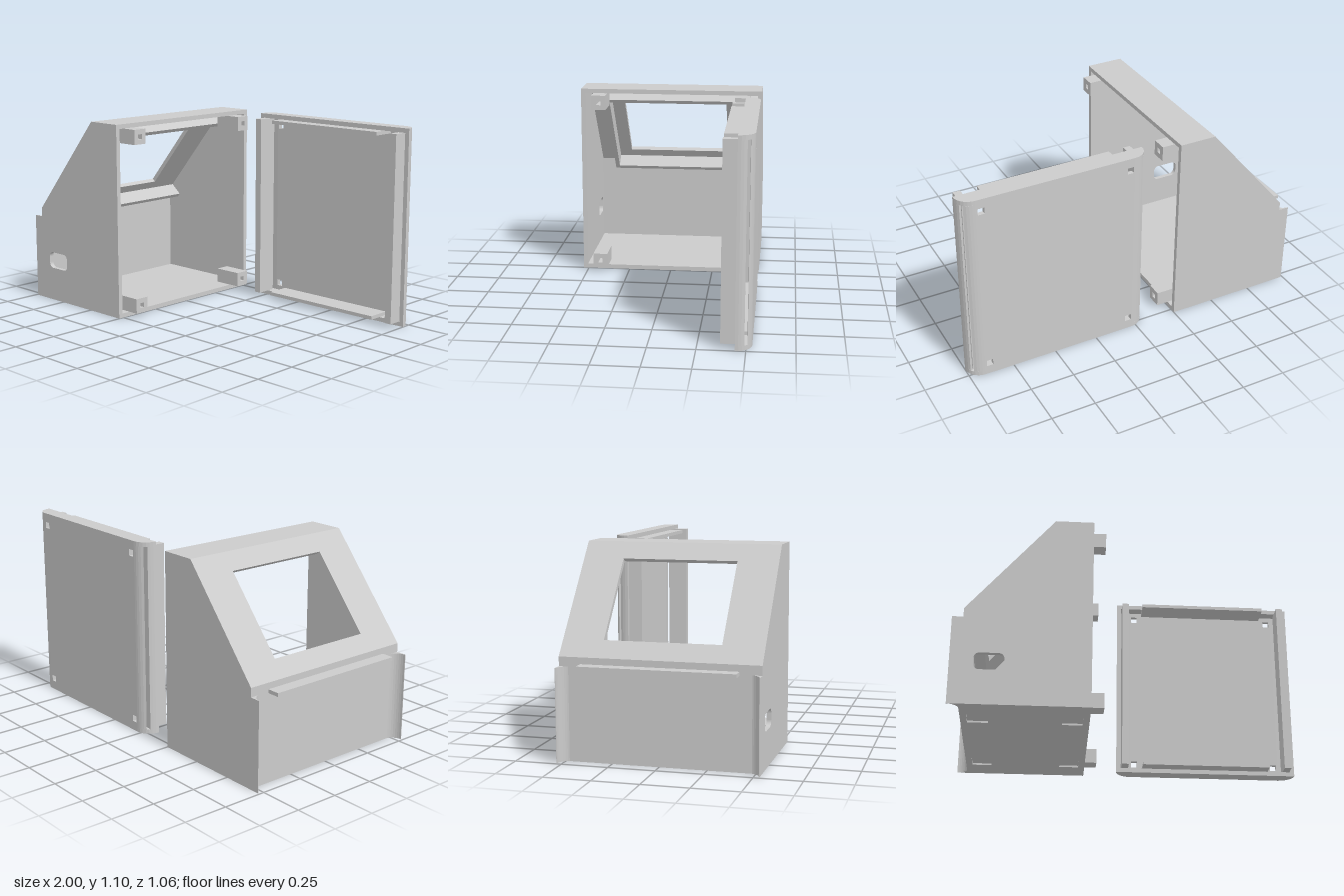
import * as THREE from 'three';

const material = new THREE.MeshStandardMaterial({ color: 0xcccccc, flatShading: true });
const T = 0.025; // wall thickness

function add(parent, name, geometry) {
  const mesh = new THREE.Mesh(geometry, material);
  mesh.name = name;
  parent.add(mesh);
  return mesh;
}

// Box given by its min and max on each axis
function box(parent, name, x0, x1, y0, y1, z0, z1) {
  const g = new THREE.BoxGeometry(x1 - x0, y1 - y0, z1 - z0);
  g.translate((x0 + x1) / 2, (y0 + y1) / 2, (z0 + z1) / 2);
  return add(parent, name, g);
}

const polygon = (pts) => new THREE.Shape(pts.map(([x, y]) => new THREE.Vector2(x, y)));
const rect = (x0, x1, y0, y1) => polygon([[x0, y0], [x1, y0], [x1, y1], [x0, y1]]);
const extrude = (shape, depth) =>
  new THREE.ExtrudeGeometry(shape, { depth, bevelEnabled: false, curveSegments: 6 });

// Prism from an (x, z) outline, standing from y0 to y1
function prism(parent, name, shapeOrPts, y0, y1) {
  const shape = Array.isArray(shapeOrPts) ? polygon(shapeOrPts.map(([x, z]) => [x, -z])) : shapeOrPts;
  return add(parent, name, extrude(shape, y1 - y0).rotateX(-Math.PI / 2).translate(0, y0, 0));
}

function roundedRect(x0, x1, y0, y1, r) {
  const p = new THREE.Path();
  p.moveTo(x0 + r, y0);
  p.absarc(x1 - r, y0 + r, r, -Math.PI / 2, 0);
  p.absarc(x1 - r, y1 - r, r, 0, Math.PI / 2);
  p.absarc(x0 + r, y1 - r, r, Math.PI / 2, Math.PI);
  p.absarc(x0 + r, y0 + r, r, Math.PI, Math.PI * 1.5);
  return p;
}

function arc(cx, cz, r, a0, a1, n) {
  return Array.from({ length: n + 1 }, (_, i) => {
    const a = a0 + ((a1 - a0) * i) / n;
    return [cx + r * Math.cos(a), cz + r * Math.sin(a)];
  });
}

function createHousing() {
  const g = new THREE.Group();
  g.name = 'housing';
  const W = 0.53, I = W - T;

  // Side walls, the +z one with a cable opening
  for (const s of [1, -1]) {
    const side = polygon([[-0.93, 0], [-0.25, 0], [-0.25, 1.1], [-0.46, 1.1], [-0.93, 0.545]]);
    if (s > 0) side.holes.push(roundedRect(-0.865, -0.705, 0.195, 0.29, 0.03));
    add(g, 'sideWall', extrude(side, T).translate(0, 0, s > 0 ? I : -W));
    // Concave flare at the front corner
    const flare = arc(-0.99, 0.465, 0.062, 0, Math.PI / 2, 8).map(([x, z]) => [x, z * s]);
    prism(g, 'cornerFlare', [[-0.928, W * s], ...flare, [-0.99, W * s]], 0, 0.495);
  }

  // Floor with four shallow foot recesses
  const floor = rect(-0.93, -0.25, -I, I);
  for (const x of [-0.84, -0.34])
    for (const z of [-0.33, 0.33])
      floor.holes.push(rect(x - 0.055, x + 0.055, z - 0.055, z + 0.055));
  prism(g, 'floorUnderside', floor, 0, 0.01);
  box(g, 'floor', -0.93, -0.25, 0.01, T, -I, I);
  box(g, 'ceiling', -0.46, -0.25, 1.1 - T, 1.1, -I, I);
  box(g, 'frontWall', -0.93, -0.93 + T, T, 0.545, -I, I);
  box(g, 'frontLip', -1, -0.92, 0.49, 0.51, -0.415, 0.415);

  // Sloped panel: local x runs up the slope, y along z, z into the housing
  const slope = new THREE.Group();
  slope.name = 'slopedPanel';
  const up = new THREE.Vector3(0.47, 0.555, 0);
  const length = up.length();
  up.normalize();
  const across = new THREE.Vector3(0, 0, 1);
  const inward = new THREE.Vector3().crossVectors(up, across);
  slope.quaternion.setFromRotationMatrix(new THREE.Matrix4().makeBasis(up, across, inward));
  slope.position.set(-0.93, 0.545, 0);
  const panel = rect(0, length, -I, I);
  panel.holes.push(rect(0.108, 0.615, -0.31, 0.31));
  add(slope, 'windowPanel', extrude(panel, T));
  // Three-sided tray behind the window, open toward -z
  box(slope, 'lowerRail', 0.021, 0.047, -I, 0.41, T, 0.11);
  box(slope, 'upperRail', 0.679, 0.705, -I, 0.41, T, 0.11);
  box(slope, 'sideRail', 0.047, 0.679, 0.385, 0.41, T, 0.11);
  g.add(slope);

  // Square mounting posts with blind sockets
  for (const y of [0.07, 1.03])
    for (const z of [-0.418, 0.418]) {
      const post = rect(-0.042, 0.042, -0.042, 0.042);
      post.holes.push(rect(-0.014, 0.014, -0.014, 0.014));
      add(g, 'mountingPost', extrude(post, 0.12).rotateY(Math.PI / 2).translate(-0.3, y, z));
      box(g, 'postBase', -0.35, -0.3, y - 0.042, y + 0.042, z - 0.042, z + 0.042);
    }
  return g;
}

function createCover() {
  const g = new THREE.Group();
  g.name = 'cover';
  const R = 0.085, front = -0.445, back = -0.53, mid = 0.47;
  const flat = 0.445; // half width of the flat part, from the middle
  const a1 = Math.asin(0.047 / R), a2 = Math.asin(0.063 / R);

  // Back plate with four square screw holes
  const plate = rect(mid - flat, mid + flat, T, 1.1 - T);
  for (const x of [0.05, 0.887])
    for (const y of [0.07, 1.03])
      plate.holes.push(rect(x - 0.018, x + 0.018, y - 0.018, y + 0.018));
  add(g, 'backPlate', extrude(plate, T).translate(0, 0, back));

  // Top and bottom walls with rounded ends
  const right = arc(flat, front, R, 0, -Math.PI / 2, 7);
  const left = right.map(([x, z]) => [-x, z]).reverse();
  const outline = [...right, ...left].map(([x, z]) => [x + mid, z]);
  prism(g, 'bottomWall', outline, 0, T);
  prism(g, 'topWall', outline, 1.1 - T, 1.1);

  // Rounded side edges, split by a narrow slit
  for (const s of [1, -1]) {
    const at = (pts) => pts.map(([x, z]) => [mid + s * x, z]);
    prism(g, 'sideWall', at([[0.505, front], ...arc(flat, front, R, 0, -a1, 3),
      [0.505, front - 0.047]]), T, 1.1 - T);
    prism(g, 'plateEdge', at([[flat, back + T], ...arc(flat, front, R, -a2, -Math.PI / 2, 4)]), T, 1.1 - T);
    // Upright locating rib
    const x0 = mid + s * 0.46, x1 = mid + s * 0.5;
    box(g, 'locatingRib', Math.min(x0, x1), Math.max(x0, x1), T, 1.1 - T, -0.487, -0.37);
  }

  // Tongues along the bottom and top walls
  box(g, 'lowerTongue', 0.095, 0.84, T, 0.045, back + T, -0.37);
  box(g, 'upperTongue', 0.095, 0.84, 1.055, 1.1 - T, back + T, -0.37);
  return g;
}

export function createModel() {
  const model = new THREE.Group();
  model.name = 'enclosure';
  model.add(createHousing(), createCover());
  return model;
}
